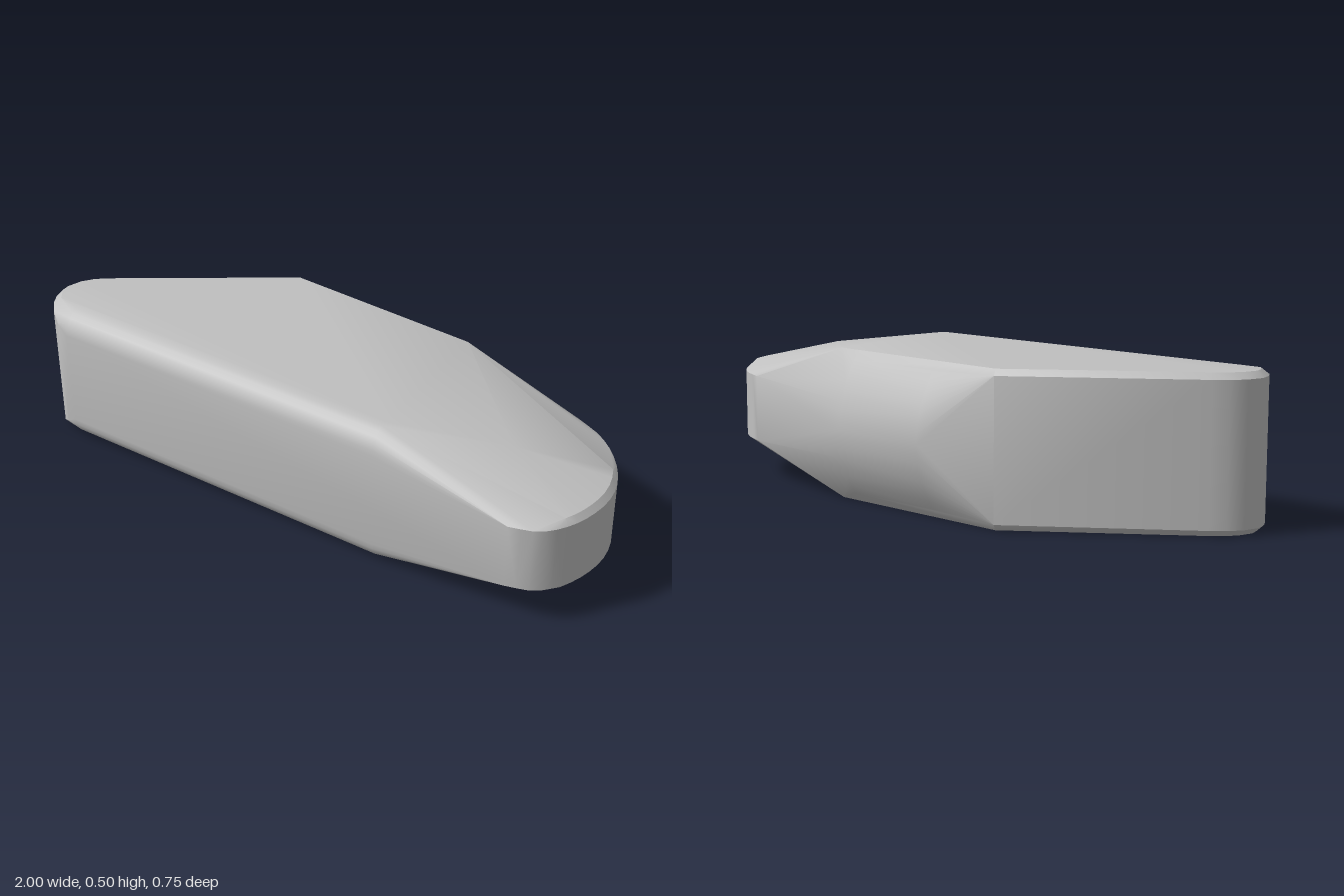
import * as THREE from 'three';
import { toCreasedNormals } from 'three/addons/utils/BufferGeometryUtils.js';
import { ConvexGeometry } from 'three/addons/geometries/ConvexGeometry.js';

const MID = 0.25; // height of the horizontal symmetry plane

export function createModel() {
  const group = new THREE.Group();
  group.name = 'wedgeBody';
  const grey = new THREE.MeshStandardMaterial({ color: 0xc0c0c0 });
  grey.name = 'lightGrey';

  // every point is mirrored above and below the middle plane
  const points = [];
  const add = (x, z, h) => {
    points.push(new THREE.Vector3(x, MID + h, z), new THREE.Vector3(x, MID - h, z));
  };

  // narrow rounded left end: wall height, then a small bevel to the flat faces
  const leftEnd = [[-0.35, -0.305], [-0.9, 0.04], [-0.945, 0.073], [-0.98, 0.115], [-1, 0.17], [-0.992, 0.215], [-0.975, 0.25]];
  const leftRim = [[-0.345, -0.29], [-0.89, 0.055], [-0.93, 0.085], [-0.96, 0.122], [-0.978, 0.17], [-0.972, 0.205], [-0.95, 0.24]];
  leftEnd.forEach(([x, z]) => add(x, z, 0.23));
  leftRim.forEach(([x, z]) => add(x, z, 0.25));
  add(-0.95, 0.283, 0.222);
  add(-0.915, 0.308, 0.198);

  // rounded front edges
  for (const [x, z] of [[-0.87, 0.32], [0.33, 0.356]]) {
    for (let i = 0; i <= 6; i++) {
      const a = (i / 6) * Math.PI / 2;
      add(x, z - 0.08 + 0.08 * Math.cos(a), 0.17 + 0.08 * Math.sin(a));
    }
  }

  // bulging back
  for (const [x, z] of [[-0.1, -0.375], [0.25, -0.35]]) {
    for (let i = 0; i <= 8; i++) {
      const t = i / 8;
      add(x, z + 0.104 * t * t, 0.25 * t);
    }
  }
  add(0.33, -0.24, 0.25);

  // tapered shoulder and broad rounded right end
  add(0.69, 0.125, 0.203);
  const rightEnd = new THREE.CatmullRomCurve3([
    [0.75, -0.22], [0.84, -0.175], [0.92, -0.1], [0.98, 0], [1, 0.1],
    [0.985, 0.2], [0.95, 0.28], [0.89, 0.345], [0.8, 0.373],
  ].map(([x, z]) => new THREE.Vector3(x, 0, z)));
  rightEnd.getPoints(20).forEach(({ x, z }) => {
    add(x, z, 0.113);
    if (z > -0.06 && z < 0.3) add(0.8 + (x - 0.8) * 0.91, 0.09 + (z - 0.09) * 0.95, 0.133);
  });

  const body = new THREE.Mesh(toCreasedNormals(new ConvexGeometry(points), 0.55), grey);
  body.name = 'body';
  group.add(body);
  return group;
}
